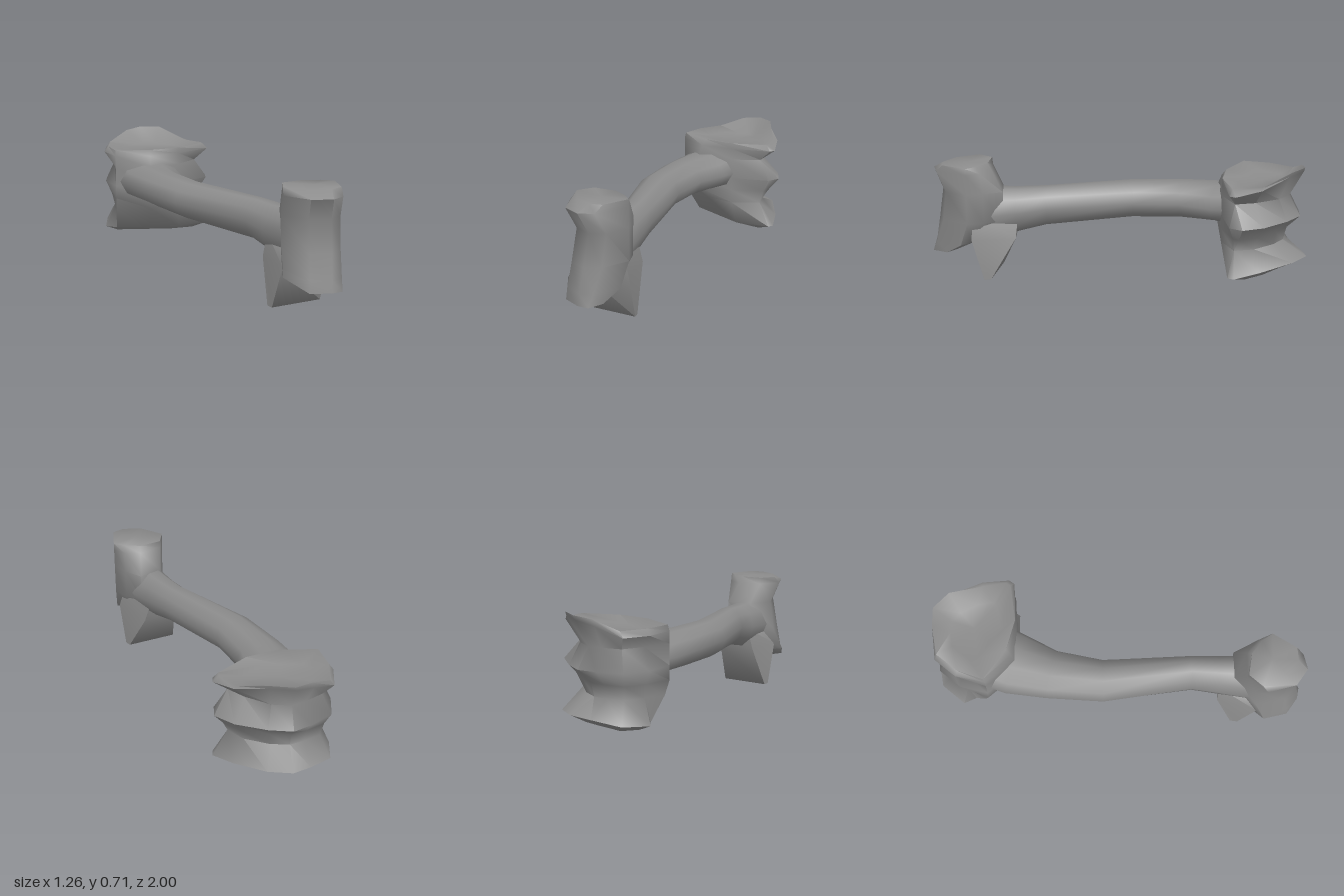
import * as THREE from 'three';
import { toCreasedNormals } from 'three/addons/utils/BufferGeometryUtils.js';

const material = new THREE.MeshStandardMaterial({ color: 0x8c8c8c, side: THREE.DoubleSide });

// Skin a stack of rings (each a list of [x, y, z]) and close both ends.
function loft(name, rings) {
  const n = rings[0].length, pos = rings.flat(2), index = [];
  for (let i = 0; i < rings.length - 1; i++) {
    for (let j = 0; j < n; j++) {
      const a = i * n + j, b = i * n + (j + 1) % n;
      index.push(a, b + n, b, a, a + n, b + n);
    }
  }
  const centre = (ring) => [0, 1, 2].map((k) => ring.reduce((s, p) => s + p[k], 0) / n);
  pos.push(...centre(rings[0]), ...centre(rings[rings.length - 1]));
  const start = rings.length * n, last = start - n;
  for (let j = 0; j < n; j++) {
    const k = (j + 1) % n;
    index.push(start, j, k, start + 1, last + k, last + j);
  }
  const geo = new THREE.BufferGeometry();
  geo.setAttribute('position', new THREE.Float32BufferAttribute(pos, 3));
  geo.setIndex(index);
  const mesh = new THREE.Mesh(toCreasedNormals(geo, 1.25), material);
  mesh.name = name;
  return mesh;
}

// Bent shaft: [x, z, half width, bottom, top] from back to front
function shaft() {
  const stations = [
    [-0.36, -0.60, 0.20, 0.31, 0.59],
    [-0.325, -0.44, 0.19, 0.335, 0.56],
    [-0.255, -0.235, 0.15, 0.337, 0.557],
    [-0.11, 0.03, 0.13, 0.33, 0.55],
    [0.236, 0.42, 0.10, 0.302, 0.54],
    [0.33, 0.56, 0.11, 0.26, 0.535],
    [0.45, 0.75, 0.13, 0.22, 0.54],
  ];
  const sides = 10;
  return loft('shaft', stations.map(([x, z, w, lo, hi], i) => {
    const p = stations[Math.max(i - 1, 0)], q = stations[Math.min(i + 1, stations.length - 1)];
    const side = new THREE.Vector2(q[1] - p[1], p[0] - q[0]).normalize();
    return Array.from({ length: sides }, (_, j) => {
      const a = -j / sides * Math.PI * 2, u = Math.cos(a) * w;
      return [x + side.x * u, (lo + hi) / 2 + Math.sin(a) * (hi - lo) / 2, z + side.y * u];
    });
  }));
}

// Flared back end: smooth where it meets the shaft, three projecting lips behind
function backEnd() {
  const outline = [
    [-0.63, -0.64], [-0.62, -0.81], [-0.50, -0.93], [-0.40, -1.0], [-0.26, -0.98], [-0.08, -0.91],
    [0.03, -0.81], [0.03, -0.71], [-0.16, -0.56], [-0.34, -0.43], [-0.56, -0.48],
  ];
  const cx = -0.35, cz = -0.72;
  // [height, side scale, front z, back z, corner cut, back rise, where it begins, highest point]
  const rings = [
    [0.088, 0.74, -0.67, -0.90, 0.70, 0.25, -0.75, 0.18],
    [0.12, 1.0, -0.60, -1.0, 0.78, 0.25, -0.75, 0.18],
    [0.26, 0.78, -0.51, -0.85, 0.65, 0, 0, 0.26],
    [0.34, 0.85, -0.43, -0.87, 0.72, 0, 0, 0.34],
    [0.42, 0.98, -0.41, -0.95, 0.85, 0, 0, 0.42],
    [0.54, 0.78, -0.41, -0.88, 0.65, 0, 0, 0.54],
    [0.61, 1.0, -0.46, -0.96, 0.78, 0.7, -0.82, 0.69],
    [0.645, 0.91, -0.49, -0.97, 0.74, 1.0, -0.85, 0.715],
    [0.62, 0.55, -0.60, -0.86, 0.60, 0, 0, 0.62],
  ];
  return loft('backEnd', rings.map(([y, s, front, back, cut, rise, from, top], i) => outline.map(([x, z]) => {
    const joinsShaft = z > -0.6 && i > 0 && i < rings.length - 1;
    const px = joinsShaft ? x : cx + (x - cx) * s;
    const depth = z > cz ? z : cz + (z - cz) * (back - cz) / (-1 - cz);
    const pz = Math.max(Math.min(depth, front), px - cut);
    return [px, Math.min(top, y + rise * Math.max(0, from - pz)), pz];
  })));
}

// Upright front end: outline of [x, share of depth], swept up with changing depth
function frontEnd() {
  const outline = [
    [0.33, 0.25], [0.45, 0], [0.55, 0.02], [0.62, 0.1], [0.63, 0.8],
    [0.57, 1], [0.45, 1], [0.32, 0.68],
  ];
  // [height, back z, front z]
  const rings = [
    [0.145, 0.86, 1.0], [0.21, 0.74, 0.99], [0.35, 0.58, 0.96], [0.53, 0.57, 0.925],
    [0.65, 0.65, 0.99], [0.69, 0.68, 0.92],
  ];
  // The inner back corner is cut off along the line of the shaft
  return loft('frontEnd', rings.map(([y, back, front], i) => outline.map(([x, t]) => [
    i === 0 ? Math.max(x, 0.45) : x, y, Math.max(back + (front - back) * t, x + 0.09),
  ])));
}

// Spur under the front end, tapering to a thin edge set square to the shaft
function spur() {
  const edge = [[0.26, 0.73], [0.54, 0.61], [0.565, 0.64], [0.28, 0.77]];
  const root = [[0.245, 0.62], [0.43, 0.50], [0.60, 0.70], [0.325, 0.85]];
  const core = [[0.27, 0.60], [0.39, 0.51], [0.56, 0.71], [0.37, 0.82]];
  const level = (plan, y) => plan.map(([x, z]) => [x, y, z]);
  return loft('spur', [level(edge, 0), level(root, 0.25), level(core, 0.38)]);
}

export function createModel() {
  const model = new THREE.Group();
  model.name = 'bone';
  model.add(shaft(), backEnd(), frontEnd(), spur());
  return model;
}
